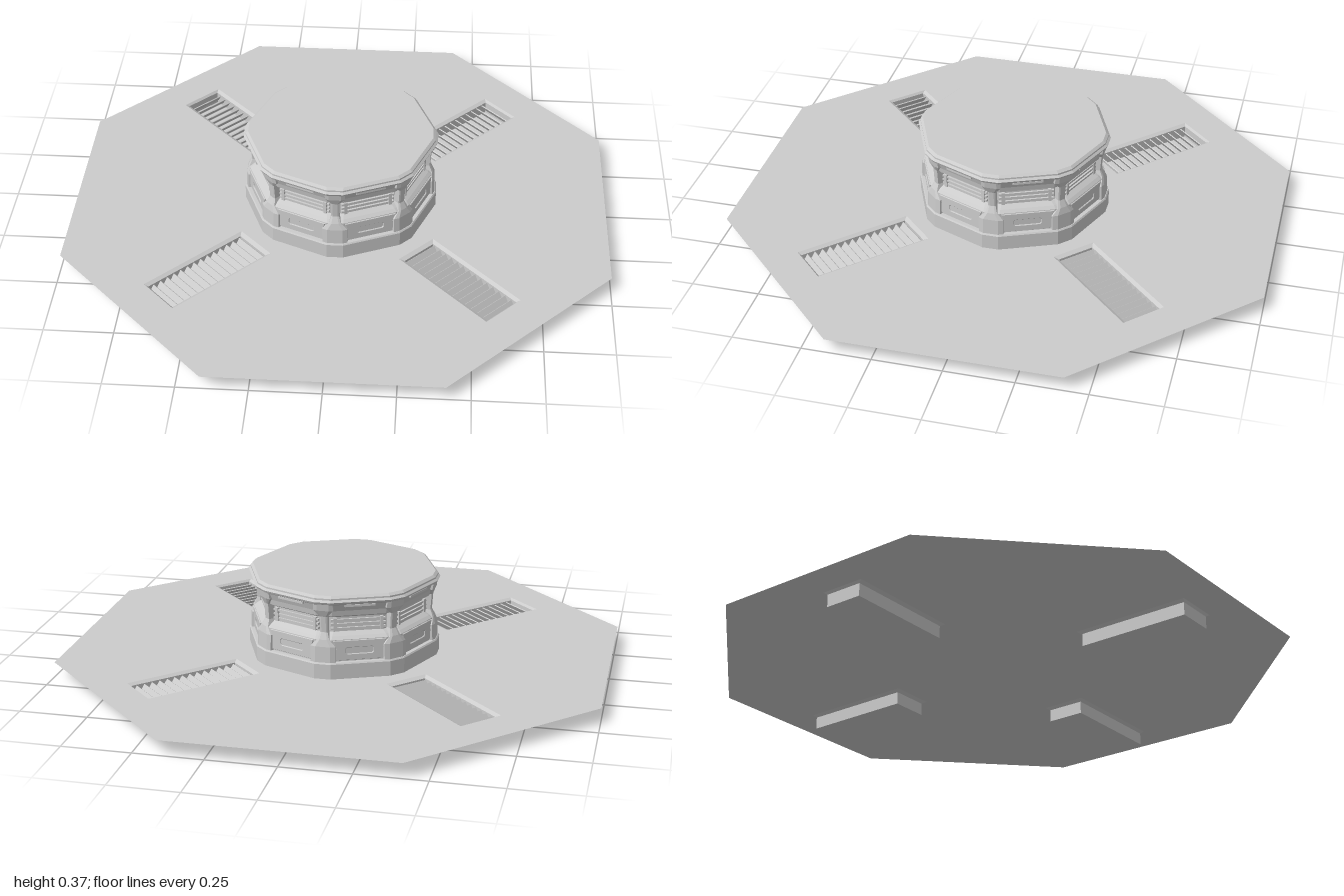
import * as THREE from 'three';

const material = new THREE.MeshStandardMaterial({ color: 0xcccccc, flatShading: true, side: THREE.DoubleSide });
const FLOOR_Y = 0.055;
const HALF_ANGLE = Math.PI / 8;

function add(parent, geometry, name, x = 0, y = 0, z = 0) {
  const mesh = new THREE.Mesh(geometry, material);
  mesh.name = name;
  mesh.position.set(x, y, z);
  parent.add(mesh);
  return mesh;
}

// Skin a stack of matching convex rings, optionally closing the ends
function loft(rings, capBottom = true, capTop = true) {
  const out = [];
  const n = rings[0].length;
  const push = (...pts) => pts.forEach((p) => out.push(...p));
  const centre = (ring) => [0, 1, 2].map((k) => ring.reduce((s, p) => s + p[k], 0) / n);
  for (let i = 0; i < n; i++) {
    const j = (i + 1) % n;
    for (let k = 0; k < rings.length - 1; k++) {
      const b = rings[k], t = rings[k + 1];
      push(b[i], t[i], t[j], b[i], t[j], b[j]);
    }
    const first = rings[0], last = rings[rings.length - 1];
    if (capBottom) push(centre(first), first[i], first[j]);
    if (capTop) push(centre(last), last[j], last[i]);
  }
  const g = new THREE.BufferGeometry();
  g.setAttribute('position', new THREE.Float32BufferAttribute(out, 3));
  g.computeVertexNormals();
  return g;
}

// Octagon with clipped corners that lie on the x and z axes and the diagonals
function octRing(r, y, w = 0.03) {
  const ring = [];
  for (let i = 0; i < 8; i++) {
    const c = Math.cos(i * Math.PI / 4), s = Math.sin(i * Math.PI / 4);
    for (const e of [-w, w]) ring.push([r * c - e * s, y, r * s + e * c]);
  }
  return ring;
}
const apothem = (r, w = 0.03) => r * Math.cos(HALF_ANGLE) + w * Math.sin(HALF_ANGLE);
const octStack = (levels) => loft(levels.map(([r, y]) => octRing(r, y)));

// Rectangle ring running outward along local x
const rectRing = (x0, x1, hw, y) => [[x0, y, -hw], [x1, y, -hw], [x1, y, hw], [x0, y, hw]];

function polygon(points, Type = THREE.Shape) {
  return new Type(points.map(([x, y]) => new THREE.Vector2(x, y)));
}

// Deck with four diagonal openings
function buildDeck(group) {
  const k = Math.tan(HALF_ANGLE);
  const shape = polygon([[1, -k], [1, k], [k, 1], [-k, 1], [-1, k], [-1, -k], [-k, -1], [k, -1]]);
  for (let i = 0; i < 4; i++) {
    const a = Math.PI / 4 + i * Math.PI / 2, c = Math.cos(a), s = Math.sin(a);
    const corners = rectRing(0.417, 0.863, 0.085, 0).map(([x, , z]) => [x * c - z * s, x * s + z * c]);
    shape.holes.push(polygon(corners, THREE.Path));
  }
  add(group, new THREE.ShapeGeometry(shape).rotateX(-Math.PI / 2), 'deck', 0, FLOOR_Y, 0);
}

// Sunken tray with sloping lip and a row of louvres
function buildVent(angle) {
  const vent = new THREE.Group();
  vent.name = 'floorVent';
  vent.rotation.y = angle;
  add(vent, loft([
    rectRing(0.432, 0.855, 0.072, 0),
    rectRing(0.432, 0.855, 0.072, 0.047),
    rectRing(0.417, 0.863, 0.085, FLOOR_Y),
  ], true, false), 'ventTray');
  const count = 14;
  for (let i = 0; i < count; i++) {
    const x = 0.432 + 0.423 * (i + 0.5) / count;
    add(vent, new THREE.BoxGeometry(0.004, 0.032, 0.142), 'louvre', x, 0.03, 0).rotation.z = 0.6;
  }
  return vent;
}

// Corner buttress: wide foot, slim waist, flared bracket at the top
function buildButtress() {
  const levels = [
    [0.115, 0.354, 0.046], [0.175, 0.352, 0.046], [0.2, 0.346, 0.022], [0.225, 0.334, 0.014],
    [0.285, 0.338, 0.014], [0.31, 0.348, 0.036], [0.335, 0.352, 0.036],
  ];
  return loft(levels.map(([y, r, w]) => {
    const side = r - 0.4 * w * Math.tan(HALF_ANGLE);
    return [[0.27, y, -w], [side, y, -w], [r, y, -0.6 * w], [r, y, 0.6 * w], [side, y, w], [0.27, y, w]];
  }));
}

// Lower wall plate: sloped ends and a slot with pointed ends
function buildPlate() {
  const shape = polygon([[-0.105, 0.122], [0.105, 0.122], [0.085, 0.165], [0.095, 0.194],
    [-0.095, 0.194], [-0.085, 0.165]]);
  shape.holes.push(polygon([[-0.052, 0.148], [-0.046, 0.142], [0.046, 0.142], [0.052, 0.148],
    [0.052, 0.164], [0.046, 0.17], [-0.046, 0.17], [-0.052, 0.164]], THREE.Path));
  return new THREE.ExtrudeGeometry(shape, {
    depth: 0.006, bevelEnabled: true, bevelThickness: 0.002, bevelSize: 0.002, bevelSegments: 1,
  });
}

// One of the eight walls, facing local +z
function buildWall(plate) {
  const wall = new THREE.Group();
  wall.name = 'wall';
  add(wall, plate, 'slottedPlate', 0, 0, apothem(0.336));
  add(wall, new THREE.BoxGeometry(0.07, 0.008, 0.006), 'slotInsert', 0, 0.156, apothem(0.336));
  const recess = apothem(0.308);
  for (const y of [0.232, 0.248, 0.264]) {
    add(wall, new THREE.BoxGeometry(0.2, 0.007, 0.014), 'rail', 0, y, recess);
  }
  for (const x of [-0.085, 0.085]) {
    add(wall, new THREE.BoxGeometry(0.012, 0.05, 0.02), 'railBracket', x, 0.248, recess);
  }
  add(wall, new THREE.BoxGeometry(0.11, 0.008, 0.012), 'capTrim', 0, 0.328, apothem(0.343));
  return wall;
}

function buildTower() {
  const tower = new THREE.Group();
  tower.name = 'tower';
  add(tower, octStack([[0.36, FLOOR_Y], [0.36, 0.111], [0.356, 0.116]]), 'plinth');
  add(tower, octStack([
    [0.34, 0.115], [0.34, 0.198], [0.328, 0.208], [0.308, 0.22],
    [0.308, 0.275], [0.328, 0.285], [0.332, 0.305], [0.344, 0.335],
  ]), 'core');
  add(tower, octStack([
    [0.344, 0.331], [0.356, 0.337], [0.36, 0.345], [0.352, 0.352], [0.352, 0.358], [0.342, 0.366],
  ]), 'cap');
  const buttress = buildButtress(), plate = buildPlate();
  for (let i = 0; i < 8; i++) {
    add(tower, buttress, 'buttress').rotation.y = i * Math.PI / 4;
    const wall = buildWall(plate);
    wall.rotation.y = HALF_ANGLE + i * Math.PI / 4;
    tower.add(wall);
  }
  return tower;
}

export function createModel() {
  const model = new THREE.Group();
  model.name = 'towerOnDeck';
  buildDeck(model);
  for (let i = 0; i < 4; i++) model.add(buildVent(Math.PI / 4 + i * Math.PI / 2));
  model.add(buildTower());
  return model;
}
